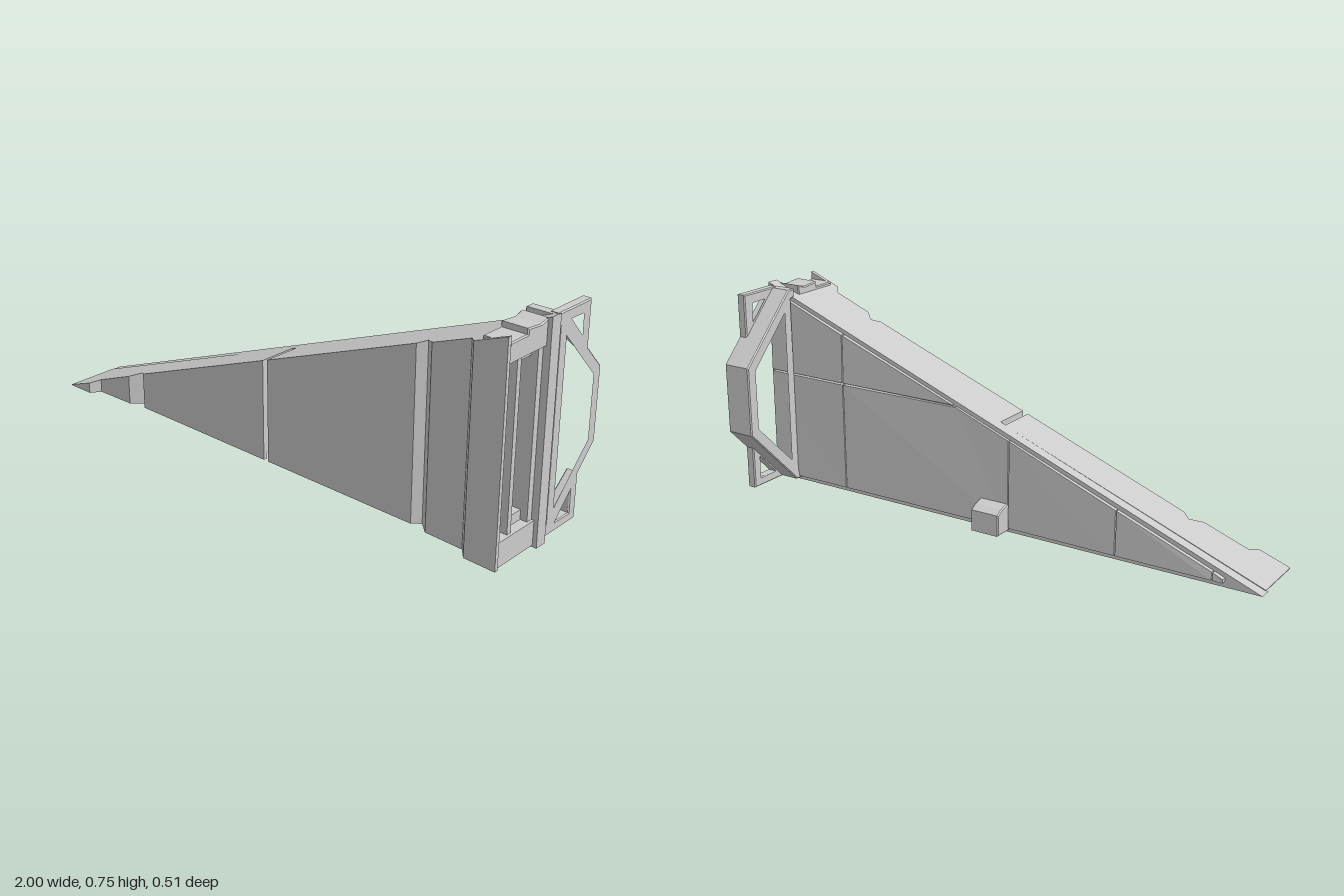
import * as THREE from 'three';

const SLOPE = 0.3775;
const topAt = (x) => SLOPE * (x + 1);

export function createModel() {
  const root = new THREE.Group();
  const mat = new THREE.MeshStandardMaterial({ color: 0xcccccc, flatShading: true });

  const add = (name, geo) => {
    geo.computeVertexNormals();
    const m = new THREE.Mesh(geo, mat);
    m.name = name;
    root.add(m);
    return m;
  };
  const shapeOf = (pts) => new THREE.Shape(pts.map(([a, b]) => new THREE.Vector2(a, b)));

  // Box given by its two corners
  const box = (name, x0, x1, y0, y1, z0, z1) =>
    add(name, new THREE.BoxGeometry(x1 - x0, y1 - y0, z1 - z0)
      .translate((x0 + x1) / 2, (y0 + y1) / 2, (z0 + z1) / 2));

  // Plan outline (x, z) raised from y0 up to the sloping top edge
  const wedge = (name, plan, y0) => {
    const geo = new THREE.ExtrudeGeometry(shapeOf(plan.map(([x, z]) => [x, -z])),
      { depth: 1, bevelEnabled: false });
    geo.rotateX(-Math.PI / 2);
    const p = geo.attributes.position;
    for (let i = 0; i < p.count; i++) {
      const top = Math.max(topAt(p.getX(i)), 0.005);
      p.setY(i, p.getY(i) > 0.5 ? top : Math.min(y0, top - 0.003));
    }
    return add(name, geo);
  };

  // Side outline (z, y) with holes, extruded along x from x0 to x1
  const sidePlate = (name, pts, holes, x0, x1) => {
    const flip = (a) => a.map(([z, y]) => [-z, y]);
    const shape = shapeOf(flip(pts));
    holes.forEach((h) => shape.holes.push(shapeOf(flip(h))));
    const b = 0.004;
    const geo = new THREE.ExtrudeGeometry(shape, {
      depth: x1 - x0 - 2 * b, bevelEnabled: true, bevelSize: b,
      bevelThickness: b, bevelOffset: -b, bevelSegments: 1,
    });
    geo.rotateY(Math.PI / 2).translate(x0 + b, 0, 0);
    return add(name, geo);
  };

  // Triangular spine
  add('spine', new THREE.ExtrudeGeometry(shapeOf([[-1, 0], [1, 0], [1, 0.755]]),
    { depth: 0.045, bevelEnabled: false }).translate(0, 0, 0.01));

  // Body halves: core with a front skin hanging a little lower
  const halves = {
    left: [[0.006, 0.2], [0.628, 0.2], [0.655, 0.176], [0.695, 0.212], [0.84, 0.216],
      [0.872, 0.253], [0.99, 0.256]],
    right: [[-0.994, 0.253], [-0.885, 0.253], [-0.86, 0.216], [-0.7, 0.212],
      [-0.66, 0.176], [-0.632, 0.2], [-0.014, 0.2]],
  };
  const skin = 0.014;
  for (const [side, pts] of Object.entries(halves)) {
    const inner = pts.map(([x, z]) => [x, z - skin]);
    wedge(side + 'FrontSkin', [...pts, ...inner.slice().reverse()], 0.003);
    const core = inner.map(([x, z]) => [Math.min(x, 0.9), z]);
    wedge(side + 'Core', [[core[0][0], 0.05], ...core, [core[core.length - 1][0], 0.05]], 0.025);
  }
  box('jointBlock', -0.014, 0.006, 0.004, 0.095, 0.05, 0.16);

  // Framed recess in the tall end
  box('endSill', 0.88, 0.985, 0.006, 0.042, 0.05, 0.245);
  for (const [name, a, b, x] of [['bottomRail', 0.042, 0.092, 0.985], ['bottomInnerRail', 0.092, 0.126, 0.95],
    ['topInnerRail', 0.63, 0.663, 0.95], ['topRail', 0.663, 0.713, 0.985]]) {
    box(name, 0.89, x, a, b, 0.05, 0.245);
  }
  for (const [z0, z1, x] of [[0.055, 0.078, 0.975], [0.163, 0.182, 0.975], [0.2, 0.206, 0.93], [0.222, 0.23, 0.93]]) {
    box('endBar', 0.89, x, 0.092, 0.663, z0, z1);
  }
  sidePlate('topCap', [[0.05, 0.7], [0.238, 0.7], [0.238, 0.725], [0.152, 0.725],
    [0.152, 0.744], [0.085, 0.738], [0.05, 0.748]], [], 0.89, 0.985);

  // Bent handle frame behind the tall end
  sidePlate('handle',
    [[0.012, 0.745], [-0.02, 0.745], [-0.255, 0.505], [-0.255, 0.25], [-0.02, 0.01], [0.012, 0.01],
      [0.012, 0.04], [-0.008, 0.045], [-0.008, 0.71], [0.012, 0.715]],
    [[[-0.043, 0.67], [-0.22, 0.49], [-0.22, 0.265], [-0.043, 0.09]]], 0.878, 0.988);

  // Thin corner brackets, mirrored top and bottom
  for (const top of [true, false]) {
    const my = (a) => a.map(([z, y]) => [z, top ? y : 0.755 - y]);
    sidePlate(top ? 'topBracket' : 'bottomBracket',
      my([[0, 0.747], [-0.172, 0.747], [-0.172, 0.588], [-0.16, 0.578], [0, 0.71]]),
      [my([[-0.06, 0.715], [-0.136, 0.715], [-0.136, 0.635]])], 0.953, 0.988);
  }

  // Rear cladding slabs with seams and slightly uneven faces
  const g = 0.004;
  const edge = (x) => [x, topAt(x) - 0.016];
  const slabs = [
    [[-0.87, 0.02], [-0.83 - g, 0.02], edge(-0.83 - g), edge(-0.87)],
    [[-0.83, 0.02], [-0.48 - g, 0.02], edge(-0.48 - g), edge(-0.83)],
    [[-0.48, 0.02], [-0.06 - g, 0.02], edge(-0.06 - g), edge(-0.27), edge(-0.48)],
    [[-0.06, 0.02], [0.3, 0.02], [0.65 - g, 0.02], [0.65 - g, 0.42], [0.155, 0.42], edge(-0.06)],
    [[0.65, 0.02], [0.985, 0.02], [0.985, 0.42], [0.65, 0.42]],
    [[0.17, 0.427], [0.65 - g, 0.427], edge(0.65 - g)],
    [[0.65, 0.427], [0.985, 0.427], edge(0.985), edge(0.65)],
  ];
  slabs.forEach((pts) => {
    const geo = new THREE.ExtrudeGeometry(shapeOf(pts), { depth: 0.02, bevelEnabled: false });
    geo.translate(0, 0, -0.006);
    const p = geo.attributes.position;
    for (let i = 0; i < p.count; i++) {
      if (p.getZ(i) < 0) p.setZ(i, -0.004 + 0.005 * Math.sin(p.getX(i) * 17 + p.getY(i) * 29));
    }
    add('rearSlab', geo);
  });

  // Small rear block with a sloping top
  sidePlate('rearBlock', [[0.015, 0.008], [-0.065, 0.008], [-0.065, 0.085], [-0.04, 0.1], [0.015, 0.115]],
    [], -0.06, 0.052);

  return root;
}
